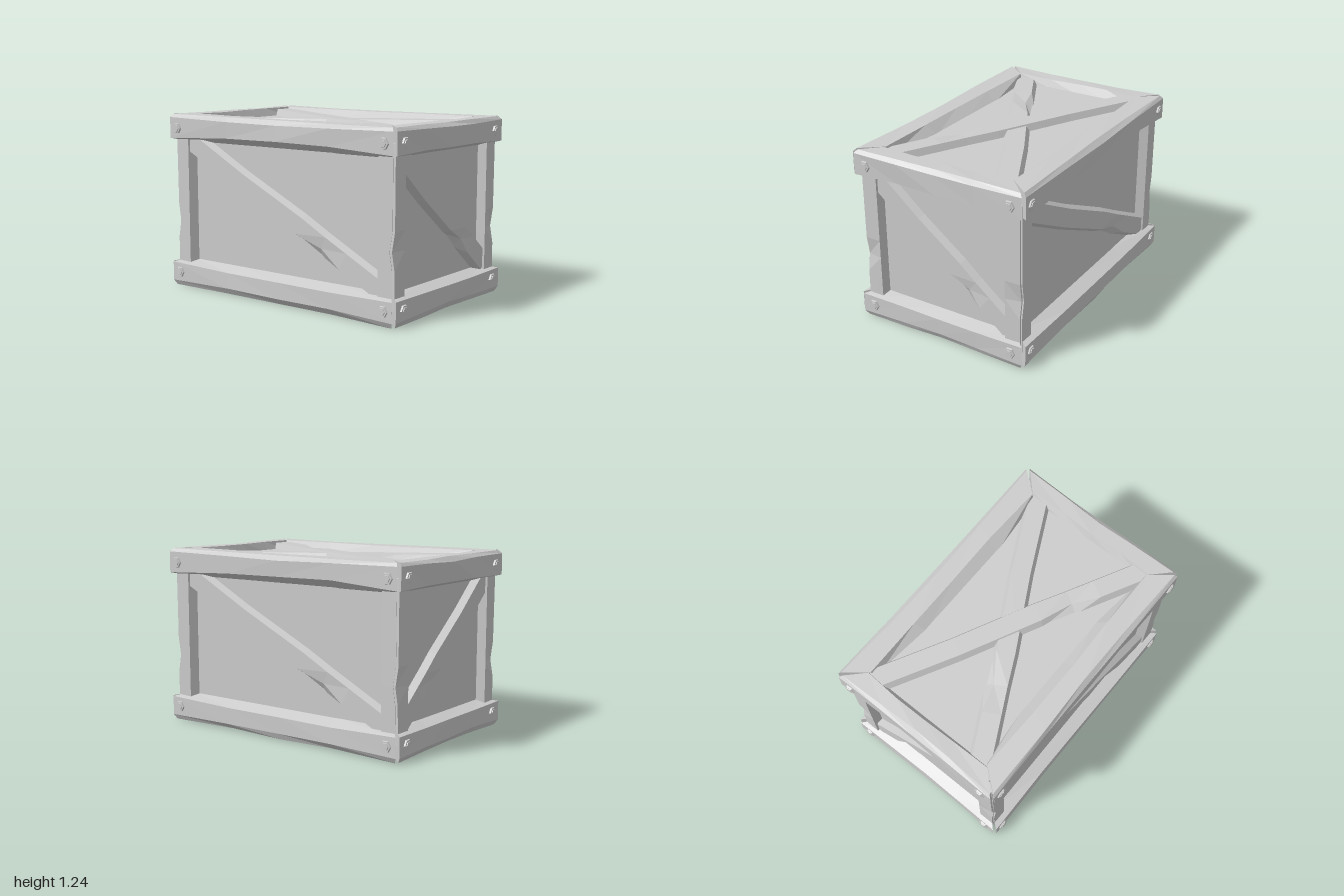
import * as THREE from 'three';

const H = 1.24; // total height

// small seeded random source for the worn edges
function seeded(seed) {
  let s = seed;
  return () => (s = (s * 16807) % 2147483647) / 2147483647;
}

// Faceted solid through a list of cross-sections, closed at both ends, always facing outward
function loft(sections) {
  const tris = [];
  const n = sections[0].length;
  for (let i = 0; i < sections.length - 1; i++) {
    for (let j = 0; j < n; j++) {
      const k = (j + 1) % n, a = sections[i], b = sections[i + 1];
      tris.push([a[j], b[j], b[k]], [a[j], b[k], a[k]]);
    }
  }
  const cap = (ring, flip) => {
    const c = ring.reduce((s, p) => s.add(p), new THREE.Vector3()).divideScalar(n);
    for (let j = 0; j < n; j++) {
      const k = (j + 1) % n;
      tris.push(flip ? [c, ring[k], ring[j]] : [c, ring[j], ring[k]]);
    }
  };
  cap(sections[0], false);
  cap(sections[sections.length - 1], true);
  const volume = tris.reduce((v, [a, b, c]) => v + a.dot(b.clone().cross(c)), 0);
  const points = tris.flatMap(([a, b, c]) => (volume < 0 ? [a, c, b] : [a, b, c]));
  const geo = new THREE.BufferGeometry().setFromPoints(points);
  geo.computeVertexNormals();
  return geo;
}

export function createModel() {
  const model = new THREE.Group();
  model.name = 'crate';
  const grey = new THREE.MeshStandardMaterial({ color: 0xcccccc });
  grey.name = 'grey';
  const add = (name, geo) => {
    const mesh = new THREE.Mesh(geo, grey);
    mesh.name = name;
    model.add(mesh);
    return mesh;
  };

  // Inner box whose faces are the recessed panels
  add('panels', new THREE.BoxGeometry(1.78, 1.12, 1.1)).position.y = H / 2;

  // Mitred rails around the top and bottom
  function rail(name, { outer, rim, inner, panel, half, mitre, map, top, notch, widen, seed }) {
    const rnd = seeded(seed);
    const stations = [-1, -0.45, 0.02, 0.48, 1];
    const ch = top ? 0.022 : 0.035;
    const sections = stations.map((t) => {
      const mid = Math.abs(t) < 1 ? 1 : 0;
      const wear = (amount) => mid * amount * rnd();
      const profile = [
        [outer - wear(0.012), 1.07 + mid * notch * (0.6 + 0.4 * rnd())],
        [outer - wear(0.008), H - ch - wear(0.015)],
        [outer - 0.02 - wear(0.025), H - wear(0.006)],
        [rim + wear(0.015), H - wear(0.006)],
        [inner - mid * widen, 1.17],
        [inner - mid * widen, 1.04],
        [panel - 0.01, 1.042],
      ];
      return profile.map(([o, y]) => {
        const l = t * (half - (outer - o) * mitre);
        const yy = top ? y : H - y;
        return map(o, yy, l);
      });
    });
    add(name, loft(sections));
  }
  for (const top of [true, false]) {
    const level = top ? 'top' : 'bottom';
    for (const s of [1, -1]) {
      rail(level + (s > 0 ? 'FrontRail' : 'BackRail'), {
        outer: 0.65, rim: 0.485, inner: 0.455, panel: 0.55, half: 0.967, mitre: 0.81,
        map: (o, y, l) => new THREE.Vector3(l * s, y, o * s),
        top, notch: top ? 0.034 : 0.018, widen: 0.045, seed: 31 + s * 7 + top * 50,
      });
      rail(level + (s > 0 ? 'LeftRail' : 'RightRail'), {
        outer: 0.985, rim: 0.845, inner: 0.825, panel: 0.89, half: 0.632, mitre: 0.98,
        map: (o, y, l) => new THREE.Vector3(o * s, y, l * s),
        top, notch: 0.008, widen: 0, seed: 211 + s * 13 + top * 70,
      });
    }
  }

  // Corner posts with a groove down the outer edge and worn sides
  for (const sx of [1, -1]) {
    for (const sz of [1, -1]) {
      const rnd = seeded(77 + sx * 20 + sz * 5);
      const chip = 0.35 + 0.4 * rnd();
      const sections = [0.1, chip, chip + 0.12, chip + 0.25, 1.14].map((y, i) => {
        const worn = i === 2 ? 0.022 : i === 0 || i === 4 ? 0 : 0.005 * rnd();
        return [
          [0.83, 0.61], [0.94 - worn, 0.61], [0.932 - worn, 0.596], [0.952 - worn, 0.6],
          [0.952, 0.49], [0.885, 0.475], [0.8, 0.475], [0.8, 0.545],
        ].map(([x, z]) => new THREE.Vector3(x * sx, y, z * sz));
      });
      add('cornerPost', loft(sections));
    }
  }

  // Bevelled diagonal brace lying on a panel, with a chipped lower edge
  function brace(name, a, b, depth, map) {
    const dir = new THREE.Vector2(b[0] - a[0], b[1] - a[1]);
    const n = new THREE.Vector2(-dir.y, dir.x).normalize();
    const sections = [0, 0.3, 0.6, 0.72, 0.82, 1].map((t, i) => {
      const chip = i === 3 ? 0.035 : 0;
      const sag = i === 1 ? -0.008 : i === 2 ? 0.005 : 0;
      return [[-0.092, -0.01], [-0.062 + chip, depth - chip * 0.3], [0.064, depth], [0.09, -0.01]]
        .map(([w, h]) => map(
          a[0] + dir.x * t + n.x * (w + sag), a[1] + dir.y * t + n.y * (w + sag), h));
    });
    add(name, loft(sections));
  }
  for (const s of [1, -1]) {
    brace(s > 0 ? 'frontBrace' : 'backBrace', [-0.85, 1.06], [0.85, 0.205], 0.048,
      (u, v, h) => new THREE.Vector3(u * s, v, (0.55 + h) * s));
    brace(s > 0 ? 'leftBrace' : 'rightBrace', [-0.51, 1.055], [0.51, 0.225], 0.048,
      (u, v, h) => new THREE.Vector3((0.89 + h) * s, v, -u));
    // crossed pair on the lid and the underside
    const flat = (u, v, h) => new THREE.Vector3(u, H / 2 + s * (0.56 + h), -v * s);
    const level = s > 0 ? 'top' : 'bottom';
    brace(level + 'CrossBraceOver', [-0.86, 0.45], [0.86, -0.45], 0.046, flat);
    brace(level + 'CrossBraceUnder', [0.86, 0.45], [-0.86, -0.45], 0.036, flat);
  }

  // Hexagonal bolts at the rail ends
  const washer = new THREE.CylinderGeometry(0.037, 0.043, 0.02, 6).toNonIndexed();
  const head = new THREE.CylinderGeometry(0.024, 0.029, 0.014, 6).toNonIndexed();
  for (const g of [washer, head]) {
    g.rotateY(Math.PI / 6);
    g.rotateX(Math.PI / 2);
    g.computeVertexNormals();
  }
  function bolt(x, y, z, turn) {
    const group = new THREE.Group();
    group.name = 'bolt';
    group.position.set(x, y, z);
    group.rotation.y = turn;
    const base = new THREE.Mesh(washer, grey);
    base.name = 'boltBase';
    const cap = new THREE.Mesh(head, grey);
    cap.name = 'boltHead';
    cap.position.z = 0.008;
    group.add(base, cap);
    model.add(group);
  }
  for (const y of [0.103, 1.143]) {
    for (const sx of [1, -1]) {
      for (const sz of [1, -1]) {
        bolt(sx * 0.897, y, sz * 0.65, sz > 0 ? 0 : Math.PI);
        bolt(sx * 0.985, y, sz * 0.545, sx * Math.PI / 2);
      }
    }
  }
  return model;
}
